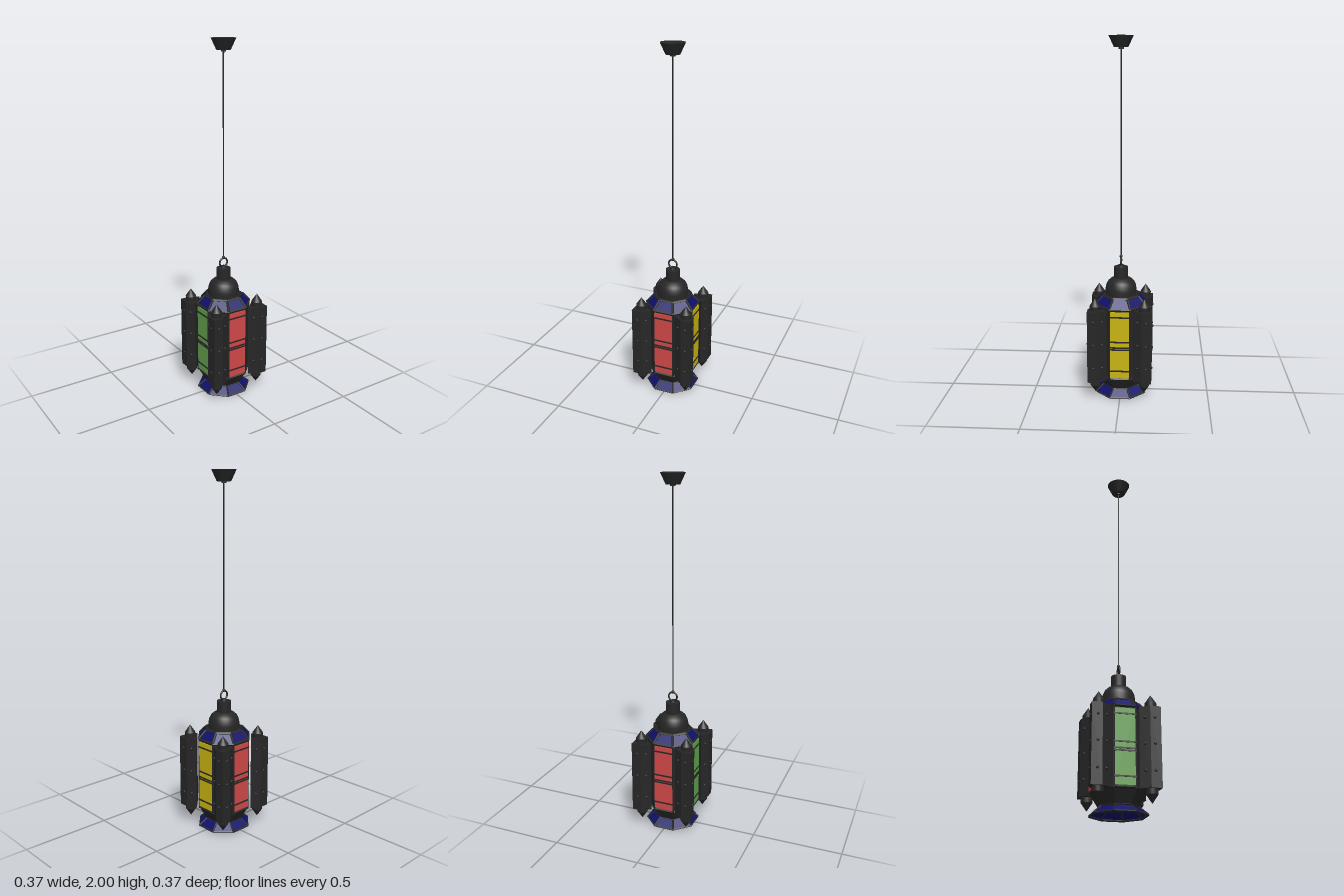
import * as THREE from 'three';

const mat = (name, color, side = THREE.FrontSide) => {
  const m = new THREE.MeshStandardMaterial({ color, side });
  m.name = name;
  return m;
};
const OCT = Math.cos(Math.PI / 8);

export function createModel() {
  const root = new THREE.Group();
  root.name = 'hangingLantern';
  const iron = mat('blackIron', 0x262626);
  const ironOpen = mat('blackIronSheet', 0x262626, THREE.DoubleSide);
  const blue = mat('blueGlass', 0x10106a, THREE.DoubleSide);
  const red = mat('redGlass', 0xd04848);
  const yellow = mat('yellowGlass', 0xc8b410);
  const green = mat('greenGlass', 0x62a04f);

  const add = (name, geo, material, x = 0, y = 0, z = 0, parent = root) => {
    const m = new THREE.Mesh(geo, material);
    m.name = name;
    m.position.set(x, y, z);
    parent.add(m);
    return m;
  };
  const flat = (g) => {
    const f = g.toNonIndexed();
    f.computeVertexNormals();
    return f;
  };
  // Octagonal frustum given by its apothems, flat sides facing the axes
  const octagon = (name, a0, y0, a1, y1, material, open = false) =>
    add(name, flat(new THREE.CylinderGeometry(a1 / OCT, a0 / OCT, y1 - y0, 8, 1, open, Math.PI / 8)),
      material, 0, (y0 + y1) / 2, 0);
  const rim = (name, a, y, r) => {
    const g = new THREE.TorusGeometry(a / OCT, r, 4, 8);
    g.rotateZ(Math.PI / 8).rotateX(Math.PI / 2);
    add(name, flat(g), iron, 0, y, 0);
  };
  // Bars along the eight octagon corners
  const ribs = (name, a0, y0, a1, y1, r) => {
    for (let i = 0; i < 8; i++) {
      const t = Math.PI / 8 + i * Math.PI / 4;
      const at = (a, y) => new THREE.Vector3(Math.cos(t) * a / OCT, y, Math.sin(t) * a / OCT);
      const p = at(a0, y0), q = at(a1, y1), d = q.clone().sub(p);
      const m = add(name, new THREE.CylinderGeometry(r, r, d.length(), 6), iron);
      m.position.copy(p).add(q).multiplyScalar(0.5);
      m.quaternion.setFromUnitVectors(new THREE.Vector3(0, 1, 0), d.normalize());
    }
  };

  // Flared hollow foot with blue panels
  octagon('footGlass', 0.14, 0.008, 0.095, 0.045, blue, true);
  rim('footRim', 0.137, 0.006, 0.006);
  rim('footCollar', 0.095, 0.046, 0.006);
  ribs('footRib', 0.139, 0.008, 0.096, 0.045, 0.005);

  // Body with tapered underside
  octagon('bodyTaper', 0.095, 0.043, 0.136, 0.115, iron);
  octagon('body', 0.136, 0.115, 0.136, 0.53, iron);
  ribs('bodyPost', 0.136, 0.115, 0.136, 0.53, 0.007);
  rim('bodyLowerRim', 0.136, 0.12, 0.007);

  // Coloured windows with crossbars on the four main sides
  [red, yellow, red, green].forEach((glass, i) => {
    const side = new THREE.Group();
    side.name = 'windowSide';
    side.rotation.y = i * Math.PI / 2;
    root.add(side);
    add('windowPane', new THREE.BoxGeometry(0.116, 0.39, 0.006), glass, 0, 0.325, 0.139, side);
    for (const y of [0.49, 0.345, 0.312, 0.3, 0.172])
      add('windowBar', new THREE.BoxGeometry(0.116, 0.008, 0.004), iron, 0, y, 0.143, side);
  });

  // Sloped roof with blue panels
  octagon('roofGlass', 0.141, 0.535, 0.1, 0.58, blue, true);
  rim('roofEave', 0.138, 0.533, 0.008);
  rim('roofCollar', 0.097, 0.581, 0.007);
  ribs('roofRib', 0.14, 0.535, 0.1, 0.581, 0.007);
  octagon('domePlate', 0.097, 0.572, 0.092, 0.588, iron);

  // Dome and neck
  const profile = [[0.088, 0.585], [0.088, 0.615], [0.084, 0.637], [0.074, 0.658], [0.058, 0.673],
    [0.04, 0.68]].map(([x, y]) => new THREE.Vector2(x, y));
  add('dome', new THREE.LatheGeometry(profile, 32), ironOpen);
  add('neck', new THREE.CylinderGeometry(0.04, 0.04, 0.065, 24), iron, 0, 0.71, 0);
  add('neckKnob', new THREE.CylinderGeometry(0.014, 0.018, 0.014, 16), iron, 0, 0.748, 0);

  // Ring, cord and ceiling mount
  add('hangingRing', new THREE.TorusGeometry(0.025, 0.005, 8, 28), iron, 0, 0.775, 0);
  add('cordKnot', new THREE.SphereGeometry(0.009, 12, 8), iron, 0, 0.803, 0);
  add('cord', new THREE.CylinderGeometry(0.004, 0.004, 1.14, 8), iron, 0, 1.37, 0);
  add('cordGrip', new THREE.CylinderGeometry(0.014, 0.014, 0.012, 16), iron, 0, 1.937, 0);
  add('ceilingMount', new THREE.CylinderGeometry(0.066, 0.038, 0.06, 32), iron, 0, 1.97, 0);

  // Four riveted corner columns with pointed ends
  const shape = new THREE.Shape([[0.178, 0.178], [0.122, 0.178], [0.073, 0.146], [0.146, 0.073],
    [0.178, 0.122]].map(([x, y]) => new THREE.Vector2(x, y)));
  const shaft = new THREE.ExtrudeGeometry(shape, { depth: 0.415, bevelEnabled: false });
  shaft.rotateX(-Math.PI / 2);
  const rivet = new THREE.SphereGeometry(0.008, 10, 8);
  for (let i = 0; i < 4; i++) {
    const column = new THREE.Group();
    column.name = 'cornerColumn';
    column.rotation.y = i * Math.PI / 2;
    root.add(column);
    add('columnShaft', shaft, iron, 0, 0.115, 0, column);
    for (const [end, dir] of [[0.53, 1], [0.115, -1]]) {
      add('columnNeck', new THREE.CylinderGeometry(0.03, 0.03, 0.026, 20), iron, 0.136, end + dir * 0.013, -0.136, column);
      const tip = add('columnTip', new THREE.ConeGeometry(0.03, 0.044, 20), iron, 0.136, end + dir * 0.048, -0.136, column);
      if (dir < 0) tip.rotation.x = Math.PI;
    }
    for (const y of [0.2, 0.335, 0.47])
      for (const [a, b] of [[0.146, 0.176], [0.098, 0.162]]) {
        add('rivet', rivet, iron, a, y, -b, column);
        add('rivet', rivet, iron, b, y, -a, column);
      }
  }
  return root;
}
